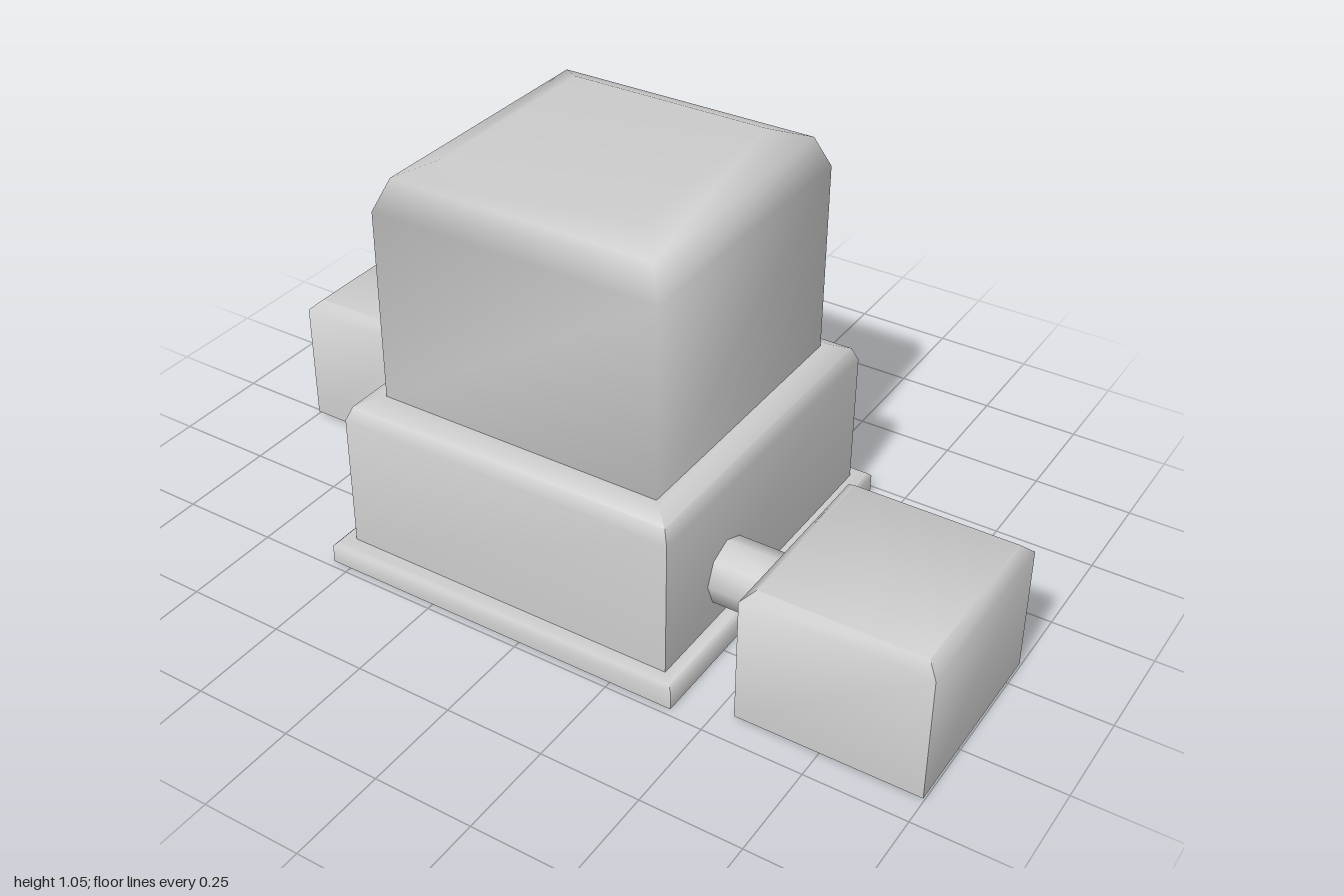
import * as THREE from 'three';
import { toCreasedNormals } from 'three/addons/utils/BufferGeometryUtils.js';

const material = new THREE.MeshStandardMaterial({ color: 0xcccccc, side: THREE.DoubleSide });

// Thin rectangular shell from a profile of [inset, y] steps, open below.
function shell(name, halfX, halfZ, profile, { x = 0, z = 0, closed = true, crease = 1.0 } = {}) {
  const positions = [], index = [];
  for (const [inset, y] of profile) {
    const a = halfX - inset, b = halfZ - inset;
    positions.push(a, y, b, a, y, -b, -a, y, -b, -a, y, b);
  }
  for (let r = 0; r < profile.length - 1; r++) {
    for (let i = 0; i < 4; i++) {
      const j = (i + 1) % 4, p = r * 4 + i, q = r * 4 + j;
      index.push(p, q, q + 4, p, q + 4, p + 4);
    }
  }
  if (closed) {
    const t = (profile.length - 1) * 4;
    index.push(t, t + 1, t + 2, t, t + 2, t + 3);
  }
  let geometry = new THREE.BufferGeometry();
  geometry.setAttribute('position', new THREE.Float32BufferAttribute(positions, 3));
  geometry.setIndex(index);
  if (crease) geometry = toCreasedNormals(geometry, crease);
  else geometry.computeVertexNormals();
  const mesh = new THREE.Mesh(geometry, material);
  mesh.name = name;
  mesh.position.set(x, 0, z);
  return mesh;
}

// Horizontal eight-sided pipe, its ends reaching inside the shells it joins.
function pipe(name, x0, x1, z) {
  const geometry = toCreasedNormals(new THREE.CylinderGeometry(0.082, 0.082, x1 - x0, 8), 1.0);
  geometry.rotateZ(Math.PI / 2);
  const mesh = new THREE.Mesh(geometry, material);
  mesh.name = name;
  mesh.position.set((x0 + x1) / 2, 0.175, z);
  return mesh;
}

export function createModel() {
  const group = new THREE.Group();
  group.name = 'steppedBuilding';
  const cx = -0.07;

  // Main block: base flange, body with bevelled ledge, tower
  group.add(
    shell('baseFlange', 0.48, 0.482, [[0, 0], [0, 0.047], [0.01, 0.057], [0.042, 0.057]], { x: cx, closed: false }),
    shell('body', 0.44, 0.44, [[0, 0.057], [0, 0.405], [0.014, 0.44], [0.053, 0.458], [0.07, 0.458]], { x: cx, closed: false }),
    shell('tower', 0.37, 0.37, [[0, 0.458], [0, 0.942], [0.032, 1.02], [0.112, 1.053]], { x: cx, crease: 0 })
  );

  // Side boxes with bevelled lids
  const boxProfile = [[0, 0.006], [0, 0.327], [0.028, 0.353]];
  group.add(
    shell('leftBox', 0.228, 0.249, boxProfile, { x: 0.77, z: 0.181 }),
    shell('rightBox', 0.18, 0.197, boxProfile, { x: -0.82, z: -0.184 })
  );

  // Connecting pipes
  group.add(
    pipe('leftPipe', 0.33, 0.59, 0.181),
    pipe('rightPipe', -0.68, -0.46, -0.238)
  );
  return group;
}
